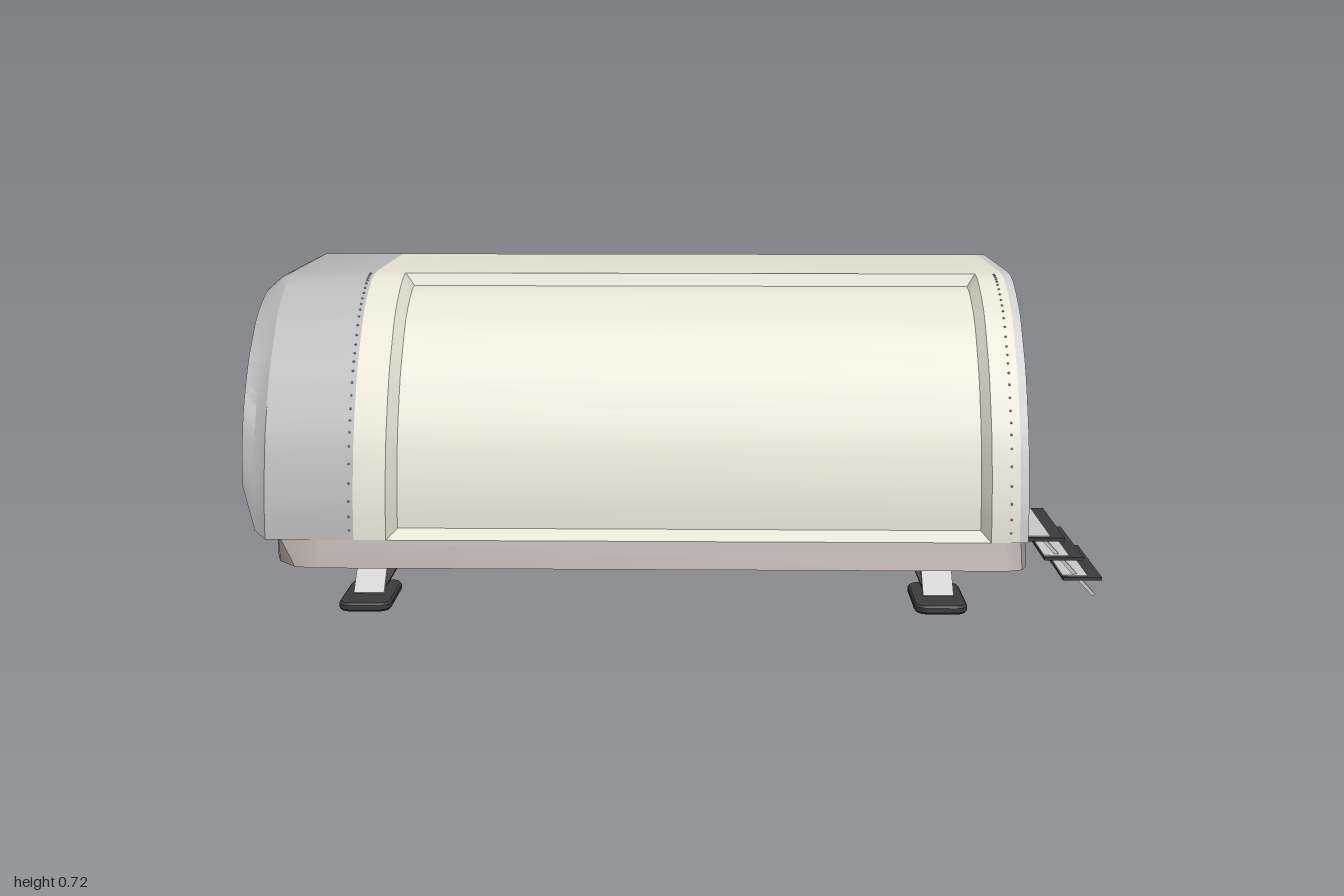
import * as THREE from 'three';
import { toCreasedNormals } from 'three/addons/utils/BufferGeometryUtils.js';

const mat = (color) => new THREE.MeshStandardMaterial({ color, side: THREE.DoubleSide });
const CREAM = mat(0xe6e2d3), GREY = mat(0xb8b8b8), PALE = mat(0xdad8dc), BASE = mat(0xaca29e);
const DARK = mat(0x3c3c3e), UNDER = mat(0x4c4a49), TEAL = mat(0x7cc8b4), STEEL = mat(0xcccccc);

// Surface through rows of [x, y, z] points of equal length
function grid(rows, closed = false) {
  const n = rows[0].length, index = [];
  for (let r = 0; r < rows.length - 1; r++) {
    for (let i = 0; i < (closed ? n : n - 1); i++) {
      const a = r * n + i, b = r * n + (i + 1) % n, c = a + n, d = b + n;
      index.push(a, b, c, b, d, c);
    }
  }
  const g = new THREE.BufferGeometry();
  g.setAttribute('position', new THREE.Float32BufferAttribute(rows.flat(2), 3));
  g.setIndex(index);
  return toCreasedNormals(g, 0.5);
}

// Curved front of the shell, bottom to roof, as [z, y]
const front = new THREE.SplineCurve([
  [0.422, 0.145], [0.414, 0.235], [0.385, 0.358], [0.35, 0.44], [0.306, 0.521], [0.262, 0.576],
  [0.21, 0.635], [0.16, 0.671], [0.105, 0.7], [0.067, 0.713], [0.035, 0.718],
].map((p) => new THREE.Vector2(...p))).getPoints(30).map((p) => [p.x, p.y]);

// Roof, rounded rear corner and back wall
const rear = [front[front.length - 1], [0.0, 0.72]];
for (let i = 0; i <= 8; i++) {
  const a = (i / 8) * Math.PI / 2;
  rear.push([-0.37 - 0.06 * Math.sin(a), 0.65 + 0.07 * Math.cos(a)]);
}
rear.push([-0.43, 0.145]);
const profile = [...front, ...rear.slice(1)];
const at = (x, pts) => pts.map(([z, y]) => [x, y, z]);

// Profile stretched into another z and y range
const fit = (pts, [z0, z1, y0, y1], [a0, a1, b0, b1]) => pts.map(([z, y]) => [
  a0 + (z - z0) / (z1 - z0) * (a1 - a0), b0 + (y - y0) / (y1 - y0) * (b1 - b0)]);
const FULL = [-0.43, 0.422, 0.145, 0.72];

// Shape in the side plane; local x is -z
const sideShape = (pts, Type = THREE.Shape) => new Type(pts.map(([z, y]) => new THREE.Vector2(-z, y)));
function sidePlate(outline, hole, x, depth) {
  const s = sideShape(outline);
  s.holes.push(sideShape(hole, THREE.Path));
  const g = new THREE.ExtrudeGeometry(s, { depth, bevelEnabled: false });
  return g.rotateY(Math.PI / 2).translate(x, 0, 0);
}

export function createModel() {
  const model = new THREE.Group();
  const add = (name, geometry, material, parent = model) => {
    const m = new THREE.Mesh(geometry, material);
    m.name = name;
    parent.add(m);
    return m;
  };
  const box = (name, w, h, d, x, y, z, material, parent) => {
    const m = add(name, new THREE.BoxGeometry(w, h, d), material, parent);
    m.position.set(x, y, z);
    return m;
  };

  // Shell: full bands at both ends, rear part between them
  const x0 = -0.66, x1 = 0.735;
  add('shellLeftBand', grid([at(-0.735, profile), at(x0, profile)]), CREAM);
  add('shellRightBand', grid([at(x1, profile), at(0.8, profile)]), CREAM);
  add('shellRear', grid([at(x0, rear), at(x1, rear)]), CREAM);

  // Sunken front panel with its sloping surround
  const inner = fit(front, [0.035, 0.422, 0.145, 0.718], [0.045, 0.388, 0.165, 0.688]);
  const i0 = x0 + 0.022, i1 = x1 - 0.02, last = front.length - 1;
  add('frontPanel', grid([at(x0, front), at(i0, inner), at(i1, inner), at(x1, front)]), CREAM);
  for (const [name, k] of [['panelSill', 0], ['panelHead', last]]) {
    add(name, grid([[...at(x0, [front[k]]), ...at(x1, [front[k]])],
      [...at(i0, [inner[k]]), ...at(i1, [inner[k]])]]), CREAM);
  }

  // Grey end cap, narrowing to a flat end wall
  const endProfile = fit(profile, FULL, [-0.4, 0.37, 0.26, 0.68]);
  add('endCap', grid([
    at(-0.735, profile), at(-0.94, profile),
    at(-0.97, fit(profile, FULL, [-0.415, 0.395, 0.16, 0.706])), at(-1, endProfile),
  ], true), GREY);
  add('endWall', new THREE.ShapeGeometry(sideShape(endProfile))
    .rotateY(Math.PI / 2).translate(-1, 0, 0), GREY);

  // Entrance wall with framed doorway
  const door = [[0.392, 0.147], [0.38, 0.22], [0.36, 0.31], [0.333, 0.395], [0.113, 0.395], [0.113, 0.147]];
  const opening = door.map(([z, y]) => [0.25 + (z - 0.25) * 0.91, 0.271 + (y - 0.271) * 0.91]);
  add('entranceWall', sidePlate(profile, door, 0.8, 0.02), PALE);
  add('doorFrame', sidePlate(door, opening, 0.795, 0.027), DARK);
  const handle = add('doorHandle', new THREE.CapsuleGeometry(0.005, 0.1, 4, 8), DARK);
  handle.position.set(0.79, 0.238, 0.132);

  // Rivets along the seams
  const rivet = new THREE.IcosahedronGeometry(0.003, 0);
  for (const x of [-0.745, 0.78]) {
    for (let i = 1; i < last; i++) {
      add('rivet', rivet, GREY).position.set(x, front[i][1], front[i][0]);
    }
  }

  // Base skirt, underside and floor
  const plan = (zf) => [
    [-0.93, -0.38], [-0.93, 0.34], [-0.915, 0.39], [-0.87, zf - 0.012], [-0.82, zf], [0.77, zf],
    [0.805, zf - 0.012], [0.82, zf - 0.045], [0.82, -0.41], [0.805, -0.43], [-0.88, -0.43], [-0.918, -0.415]];
  const ring = (y, zf) => plan(zf).map(([x, z]) => [x, y, z]);
  const slab = (y, zf) => new THREE.ShapeGeometry(new THREE.Shape(
    plan(zf).map((p) => new THREE.Vector2(...p)))).rotateX(Math.PI / 2).translate(0, y, 0);
  add('baseSkirt', grid([ring(0.085, 0.448), ring(0.145, 0.422)], true), BASE);
  add('baseTop', slab(0.145, 0.422), BASE);
  add('underside', slab(0.085, 0.448), UNDER);
  box('floor', 1.7, 0.005, 0.79, -0.055, 0.149, -0.02, TEAL);

  // Feet: rounded pads, slanted struts and a flat tie between each pair
  const w = 0.06, l = 0.0975, r = 0.03;
  const padShape = new THREE.Shape();
  padShape.absarc(w - r, l - r, r, 0, Math.PI / 2);
  padShape.absarc(r - w, l - r, r, Math.PI / 2, Math.PI);
  padShape.absarc(r - w, r - l, r, Math.PI, Math.PI * 1.5);
  padShape.absarc(w - r, r - l, r, Math.PI * 1.5, Math.PI * 2);
  const pad = new THREE.ExtrudeGeometry(padShape, {
    depth: 0.01, bevelThickness: 0.005, bevelSize: 0.004, bevelOffset: -0.004, bevelSegments: 1, curveSegments: 5,
  }).rotateX(-Math.PI / 2).translate(0, 0.005, 0);
  for (const x of [-0.7, 0.615]) {
    box('footTie', 0.06, 0.004, 0.86, x, 0.022, 0, UNDER);
    for (const s of [1, -1]) {
      const foot = new THREE.Group();
      foot.name = 'foot';
      foot.position.set(x, 0, s * 0.4125);
      model.add(foot);
      add('footPad', pad, DARK, foot);
      const strut = box('footStrut', 0.07, 0.1, 0.014, 0, 0.053, -s * 0.015, STEEL, foot);
      strut.rotation.x = -s * 0.82;
    }
  }

  // Entrance steps on two slanted stringers
  const steps = new THREE.Group();
  steps.name = 'steps';
  model.add(steps);
  [0.146, 0.1, 0.052].forEach((y, i) => {
    const x = 0.955 - (2 - i) * 0.045;
    box('tread', 0.09, 0.008, 0.276, x, y - 0.002, 0.25, DARK, steps);
    box('treadTop', 0.058, 0.003, 0.26, x - 0.016, y + 0.003, 0.25, STEEL, steps);
  });
  for (const z of [0.353, 0.155]) {
    const stringer = box('stringer', 0.19, 0.008, 0.036, 0.922, 0.076, z, STEEL, steps);
    stringer.rotation.z = -0.83;
  }
  box('landing', 0.07, 0.006, 0.27, 0.85, 0.143, 0.25, STEEL, steps);

  return model;
}
